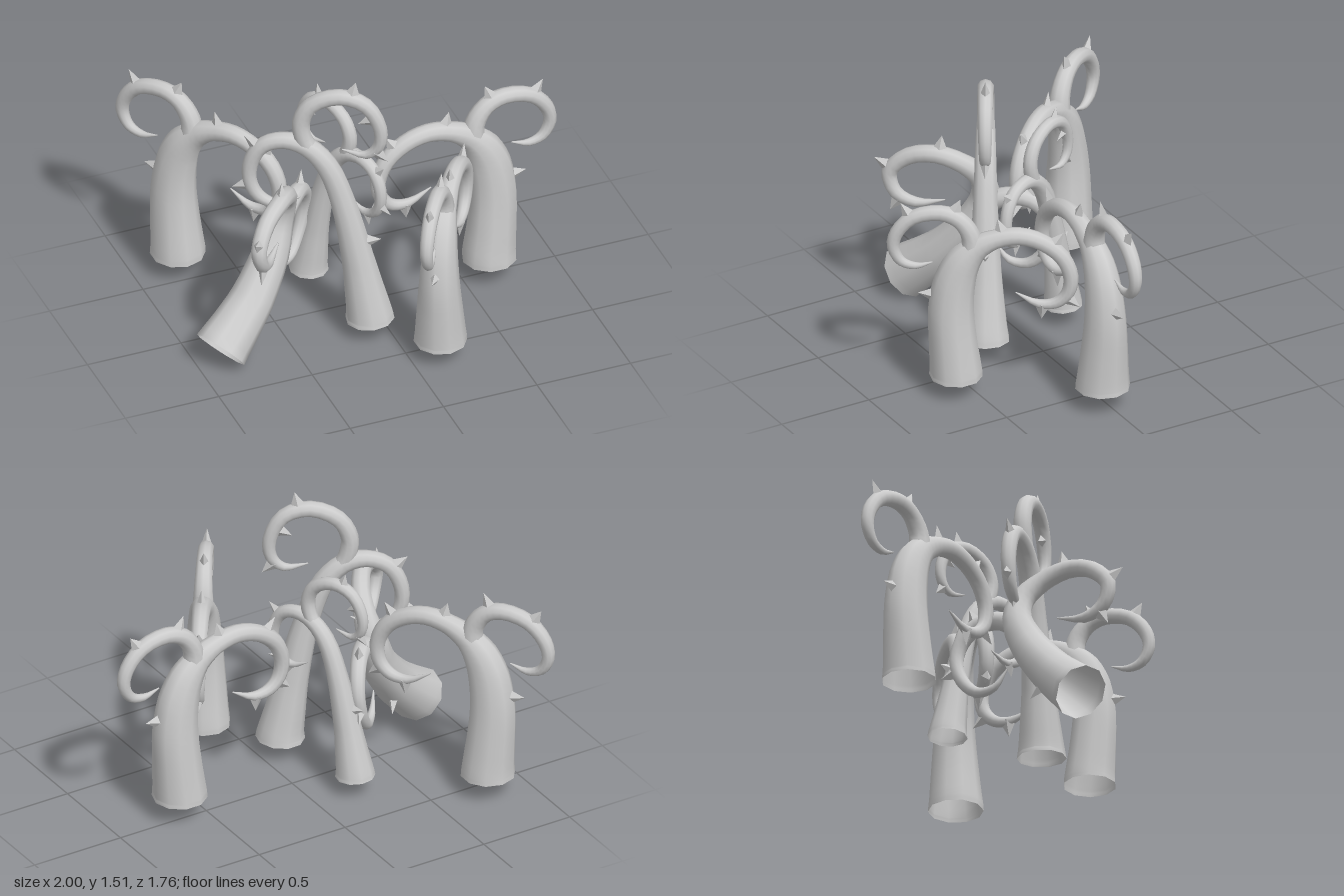
import * as THREE from 'three';

const smooth = new THREE.MeshStandardMaterial({ color: 0xcccccc, side: THREE.DoubleSide });
const faceted = new THREE.MeshStandardMaterial({ color: 0xcccccc, flatShading: true });
const SIDES = 10;

// Local frame on a vine: point, in-plane radius r, crosswise radius w, and axes
function frameAt(curve, points, n, t) {
  const f = t * (points.length - 1);
  const i = Math.min(Math.floor(f), points.length - 2);
  const mix = (k) => THREE.MathUtils.lerp(points[i][k], points[i + 1][k], f - i);
  const tangent = curve.getTangent(t);
  const side = new THREE.Vector3().crossVectors(n, tangent).normalize();
  const across = new THREE.Vector3().crossVectors(tangent, side);
  const r = mix(3);
  return { p: curve.getPoint(t), r, w: r * mix(4), tangent, side, across };
}

// Tapered tube swept along a curve, open at its start
function vineGeometry(curve, points, n) {
  const rings = (points.length - 1) * 3;
  const pos = [], index = [];
  for (let i = 0; i <= rings; i++) {
    const { p, r, w, side, across } = frameAt(curve, points, n, i / rings);
    for (let j = 0; j < SIDES; j++) {
      const a = (j / SIDES) * Math.PI * 2;
      const v = p.clone().addScaledVector(side, Math.cos(a) * r).addScaledVector(across, Math.sin(a) * w);
      pos.push(v.x, v.y, v.z);
      if (i === rings) continue;
      const k = (j + 1) % SIDES;
      const a0 = i * SIDES + j, b0 = i * SIDES + k;
      index.push(a0, b0, a0 + SIDES, b0, b0 + SIDES, a0 + SIDES);
    }
  }
  const g = new THREE.BufferGeometry();
  g.setAttribute('position', new THREE.Float32BufferAttribute(pos, 3));
  g.setIndex(index);
  g.computeVertexNormals();
  return g;
}

// One branch with thorns; points are [x, y, z, radius, width ratio], thorns are [point index, side]
function branch(name, list, n, thorns, size) {
  const group = new THREE.Group();
  group.name = name;
  const points = list.map(([x, y, z, r, ratio = 1]) => [x, y, z, r, ratio]);
  const curve = new THREE.CatmullRomCurve3(points.map(([x, y, z]) => new THREE.Vector3(x, y, z)));
  const tube = new THREE.Mesh(vineGeometry(curve, points, n), smooth);
  tube.name = name + 'Tube';
  group.add(tube);
  for (const [at, sign] of thorns) {
    const { p, r, tangent, side } = frameAt(curve, points, n, at / (points.length - 1));
    const out = side.multiplyScalar(sign);
    const thorn = new THREE.Mesh(new THREE.ConeGeometry(0.045 * size, 0.09 * size, 4), faceted);
    thorn.name = 'thorn';
    thorn.scale.z = 0.65;
    thorn.position.copy(p).addScaledVector(out, r + 0.018 * size);
    thorn.quaternion.setFromRotationMatrix(
      new THREE.Matrix4().makeBasis(tangent, out, new THREE.Vector3().crossVectors(tangent, out)));
    group.add(thorn);
  }
  return group;
}

// Vine profiles in a vertical plane: [distance toward the long curl, height, radius, width ratio]
const broad = {
  stem: [[0, 0, 0.139], [0, 0.03, 0.137], [-0.015, 0.2, 0.126, 0.96], [-0.025, 0.39, 0.119, 0.88],
    [-0.005, 0.56, 0.109, 0.83], [0.04, 0.675, 0.092, 0.85], [0.11, 0.755, 0.068, 0.9], [0.21, 0.81, 0.051],
    [0.33, 0.832, 0.047], [0.45, 0.8, 0.045], [0.55, 0.72, 0.043], [0.595, 0.61, 0.04], [0.58, 0.51, 0.036],
    [0.52, 0.45, 0.031], [0.43, 0.44, 0.023], [0.31, 0.5, 0.003]],
  curl: [[0.085, 0.72, 0.06], [0.075, 0.83, 0.051], [0.015, 0.915, 0.045], [-0.08, 0.95, 0.042], [-0.22, 0.92, 0.04],
    [-0.305, 0.83, 0.037], [-0.325, 0.74, 0.033], [-0.285, 0.66, 0.027], [-0.21, 0.635, 0.019], [-0.12, 0.66, 0.003]],
  stemThorns: [[3.4, -1], [7.3, -1], [9.4, -1], [12.3, -1], [13.8, -1]],
  curlThorns: [[2.4, 1], [4.1, 1]],
};
const tall = {
  stem: [[0, 0, 0.124], [0.002, 0.03, 0.119], [0.027, 0.17, 0.102], [0.06, 0.35, 0.084], [0.14, 0.7, 0.063],
    [0.22, 0.9, 0.056], [0.32, 1.0, 0.05], [0.43, 1.025, 0.043], [0.53, 0.99, 0.042], [0.59, 0.9, 0.04],
    [0.605, 0.78, 0.037], [0.56, 0.68, 0.033], [0.47, 0.64, 0.024], [0.35, 0.69, 0.003]],
  curl: [[0.3, 0.98, 0.045], [0.335, 1.05, 0.046], [0.345, 1.15, 0.045], [0.29, 1.255, 0.043], [0.15, 1.315, 0.041],
    [0.02, 1.275, 0.039], [-0.05, 1.15, 0.036], [-0.045, 1.04, 0.031], [0.02, 0.98, 0.022], [0.14, 1.0, 0.003]],
  stemThorns: [[3.3, -1], [8.3, -1], [10.3, -1], [11.8, -1]],
  curlThorns: [[4.4, 1], [5.6, -1], [7.4, 1]],
};

// Stands a profile at a base point, facing its long curl along (dx, dz)
function standingVine(name, profile, [bx, by, bz], [dx, dz], s) {
  const l = Math.hypot(dx, dz);
  const d = [dx / l, dz / l];
  const n = new THREE.Vector3(d[1], 0, -d[0]);
  const place = (list) => list.map(([u, y, r, ratio]) =>
    [bx + d[0] * u * s, by + y * s, bz + d[1] * u * s, r * s, ratio]);
  const vine = new THREE.Group();
  vine.name = name;
  vine.add(branch('stem', place(profile.stem), n, profile.stemThorns, s),
    branch('curl', place(profile.curl), n, profile.curlThorns, s));
  return vine;
}

// Vine that lies over on its side with both curls raised
function leaningVine() {
  const n = new THREE.Vector3(0.82, 0, 0.58).normalize();
  const vine = new THREE.Group();
  vine.name = 'leaningVine';
  vine.add(
    branch('stem', [[-0.895, 0.105, 0.265, 0.14], [-0.79, 0.2, 0.22, 0.125], [-0.685, 0.305, 0.17, 0.112],
      [-0.555, 0.49, 0.09, 0.094], [-0.495, 0.65, 0.045, 0.077], [-0.475, 0.78, 0.08, 0.06], [-0.505, 0.87, 0.17, 0.05],
      [-0.58, 0.915, 0.275, 0.046], [-0.69, 0.88, 0.37, 0.044], [-0.76, 0.78, 0.44, 0.04], [-0.735, 0.67, 0.42, 0.035],
      [-0.67, 0.62, 0.34, 0.026], [-0.57, 0.65, 0.23, 0.003]],
    n, [[1.8, -1], [6.9, -1], [8.8, -1], [10.3, -1]], 1),
    branch('curl', [[-0.49, 0.62, 0.05, 0.055], [-0.4, 0.68, -0.03, 0.048], [-0.32, 0.675, -0.115, 0.043],
      [-0.27, 0.6, -0.18, 0.04], [-0.26, 0.5, -0.205, 0.037], [-0.295, 0.38, -0.185, 0.033],
      [-0.36, 0.295, -0.125, 0.028], [-0.43, 0.3, -0.055, 0.019], [-0.475, 0.39, 0, 0.003]],
    n, [[2, 1], [4.5, 1]], 1));
  return vine;
}

export function createModel() {
  const model = new THREE.Group();
  model.name = 'thornyVines';
  model.add(
    standingVine('leftVine', broad, [0.637, 0.115, 0.03], [-1, 0], 1),
    standingVine('frontVine', broad, [0.15, 0.1, 0.588], [0.57, -0.82], 0.96),
    standingVine('backVine', broad, [-0.78, 0.115, -0.585], [0.58, 0.81], 1),
    standingVine('tallVine', tall, [-0.1, 0.1, 0.275], [-0.86, -0.51], 1),
    standingVine('middleVine', tall, [-0.22, 0.1, -0.24], [0.42, 0.91], 0.81),
    leaningVine());
  return model;
}
